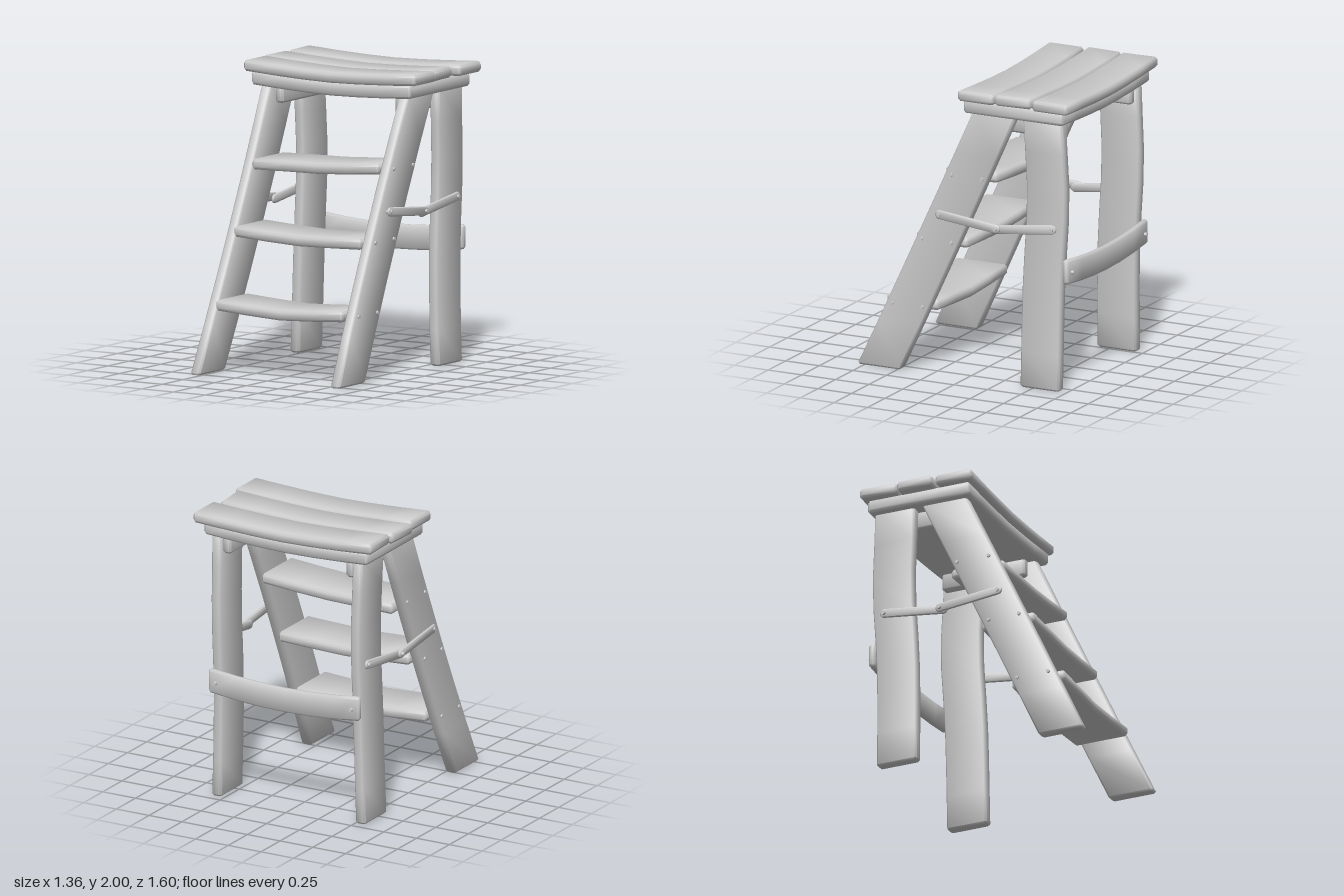
import * as THREE from 'three';
import { mergeVertices, toCreasedNormals } from 'three/addons/utils/BufferGeometryUtils.js';

const material = new THREE.MeshStandardMaterial({ color: 0xcccccc });

function addMesh(parent, name, geometry) {
  const mesh = new THREE.Mesh(geometry, material);
  mesh.name = name;
  parent.add(mesh);
  return mesh;
}

// Soft shading over the chamfers, sharp elsewhere
function soften(geometry) {
  geometry.deleteAttribute('uv');
  geometry.deleteAttribute('normal');
  return toCreasedNormals(mergeVertices(geometry, 1e-4), 0.95);
}

// Chamfered timber along 'x' or 'y', filling size [x, y, z] about center, then bent by warp(p)
function timber(axis, size, center, warp = () => {}, steps = 4, c = 0.013) {
  const [sx, sy, sz] = size;
  const [w, h, len] = axis === 'x' ? [sz / 2, sy / 2, sx] : [sx / 2, sz / 2, sy];
  const shape = new THREE.Shape([
    [-w + c, -h], [w - c, -h], [w, -h + c], [w, h - c],
    [w - c, h], [-w + c, h], [-w, h - c], [-w, -h + c],
  ].map(([x, y]) => new THREE.Vector2(x, y)));
  const g = new THREE.ExtrudeGeometry(shape, {
    depth: len - 2 * c, steps, bevelEnabled: true, bevelSegments: 1,
    bevelThickness: c, bevelSize: c, bevelOffset: -c,
  });
  g.translate(0, 0, c - len / 2);
  if (axis === 'x') g.rotateY(Math.PI / 2);
  else g.rotateX(-Math.PI / 2);
  g.translate(...center);
  const pos = g.attributes.position;
  const p = new THREE.Vector3();
  for (let i = 0; i < pos.count; i++) {
    p.fromBufferAttribute(pos, i);
    warp(p);
    pos.setXYZ(i, p.x, p.y, p.z);
  }
  return soften(g);
}

// Flat round-ended bar between two [z, y] points
function linkArm(a, b, radius, thickness) {
  const angle = Math.atan2(b[1] - a[1], a[0] - b[0]);
  const shape = new THREE.Shape();
  shape.absarc(-a[0], a[1], radius, angle + Math.PI / 2, angle + Math.PI * 1.5, false);
  shape.absarc(-b[0], b[1], radius, angle - Math.PI / 2, angle + Math.PI / 2, false);
  const e = 0.004;
  const g = new THREE.ExtrudeGeometry(shape, {
    depth: thickness - 2 * e, curveSegments: 8, bevelEnabled: true, bevelSegments: 1,
    bevelThickness: e, bevelSize: e, bevelOffset: -e,
  });
  g.translate(0, 0, e - thickness / 2);
  g.rotateY(Math.PI / 2);
  return soften(g);
}

// Inward bow of the legs at height y
const bow = (y) => 0.02 * (1 - ((y - 1.1) / 1.1) ** 2);

export function createModel() {
  const model = new THREE.Group();
  model.name = 'stepStool';

  // Seat: a sagging base board and three slightly irregular planks
  const sag = (x) => 0.028 * (1 - Math.min(1, Math.abs(x) / 0.65) ** 1.6);
  addMesh(model, 'seatBase', timber('x', [1.25, 0.09, 0.74], [0.005, 1.88, -0.375],
    (p) => { p.y -= sag(p.x); }, 6, 0.015));
  const planks = [
    { x0: -0.665, x1: 0.68, z: -0.66, d: 0.265, y: 1.96, yaw: -0.012, left: 0.04, right: 0 },
    { x0: -0.68, x1: 0.65, z: -0.38, d: 0.258, y: 1.957, yaw: 0, left: -0.04, right: 0.09 },
    { x0: -0.66, x1: 0.68, z: -0.112, d: 0.265, y: 1.96, yaw: -0.008, left: 0, right: 0 },
  ];
  for (const k of planks) {
    addMesh(model, 'seatPlank', timber('x', [k.x1 - k.x0, 0.072, k.d], [(k.x0 + k.x1) / 2, k.y, k.z],
      (p) => {
        const t = p.x / 0.68;
        p.x += Math.abs(t) * (p.z - k.z) * (t > 0 ? k.right : k.left);
        p.z += k.yaw * t;
        p.y -= sag(p.x);
      }, 6, 0.016));
  }

  const frame = new THREE.Group();
  frame.name = 'frame';
  frame.position.x = 0.01;
  model.add(frame);

  const addBolt = (parent, x, y, z, axis, dir) => {
    const bolt = addMesh(parent, 'bolt', new THREE.CylinderGeometry(0.012, 0.016, 0.04, 12));
    bolt.position.set(x, y, z);
    if (axis === 'x') bolt.rotation.z = -dir * Math.PI / 2;
    else bolt.rotation.x = dir * Math.PI / 2;
  };

  // Steps: [height at left end, middle, right end in x order, z centre]
  const steps = [
    [1.335, 1.345, 1.38, -0.005],
    [0.915, 0.89, 0.905, 0.215],
    [0.45, 0.422, 0.45, 0.435],
  ];
  for (const [yl, ym, yr, z] of steps) {
    addMesh(frame, 'step', timber('x', [1.0, 0.07, 0.385], [0, 0, z], (p) => {
      const t = Math.min(1, Math.abs(p.x) / 0.5) ** 1.25;
      p.y += ym + ((p.x < 0 ? yl : yr) - ym) * t;
    }, 4, 0.016));
  }

  // Both sides: legs, seat cleat, folding link and bolts
  for (const s of [1, -1]) {
    const side = new THREE.Group();
    side.name = s > 0 ? 'leftSide' : 'rightSide';
    frame.add(side);

    addMesh(side, 'frontLeg', timber('y', [0.075, 1.86, 0.32], [s * 0.55, 0.93, 0.64], (p) => {
      p.x -= s * bow(p.y);
      p.z -= 0.464 * p.y;
    }, 6));
    addMesh(side, 'rearLeg', timber('y', [0.075, 1.86, 0.29], [s * 0.55, 0.93, -0.555], (p) => {
      p.x -= s * bow(p.y);
      p.z -= 0.032 * Math.exp(-(((p.y - 1.3) / 0.42) ** 2)) + 0.01 * p.y / 1.86;
    }, 8));
    addMesh(side, 'seatCleat', timber('y', [0.062, 0.14, 0.6], [s * 0.47, 1.78, -0.4], undefined, 1));

    for (const [z, y] of [[0.11, 1.38], [-0.12, 1.38], [0.33, 0.915], [0.11, 0.915], [0.545, 0.45], [0.32, 0.45]])
      addBolt(side, s * (0.578 - bow(y)), y, z, 'x', s);

    // Folding link
    const front = [0.185, 1.105], elbow = [-0.235, 1.06], rear = [-0.645, 1.105];
    addMesh(side, 'rearLinkArm', linkArm([-0.215, 1.05], rear, 0.03, 0.016)).position.x = s * 0.576;
    addMesh(side, 'frontLinkArm', linkArm(front, elbow, 0.03, 0.016)).position.x = s * 0.591;
    addBolt(side, s * 0.588, front[1], front[0], 'x', s);
    addBolt(side, s * 0.594, elbow[1], elbow[0], 'x', s);
    addBolt(side, s * 0.576, rear[1], rear[0], 'x', s);
  }

  // Sagging brace across the rear legs
  addMesh(frame, 'rearBrace', timber('x', [1.15, 0.165, 0.045], [0, 0.825, -0.74], (p) => {
    p.y -= 0.04 * (1 - (p.x / 0.58) ** 2);
  }, 6));
  for (const s of [1, -1]) addBolt(frame, s * 0.52, 0.815, -0.76, 'z', -1);

  return model;
}
